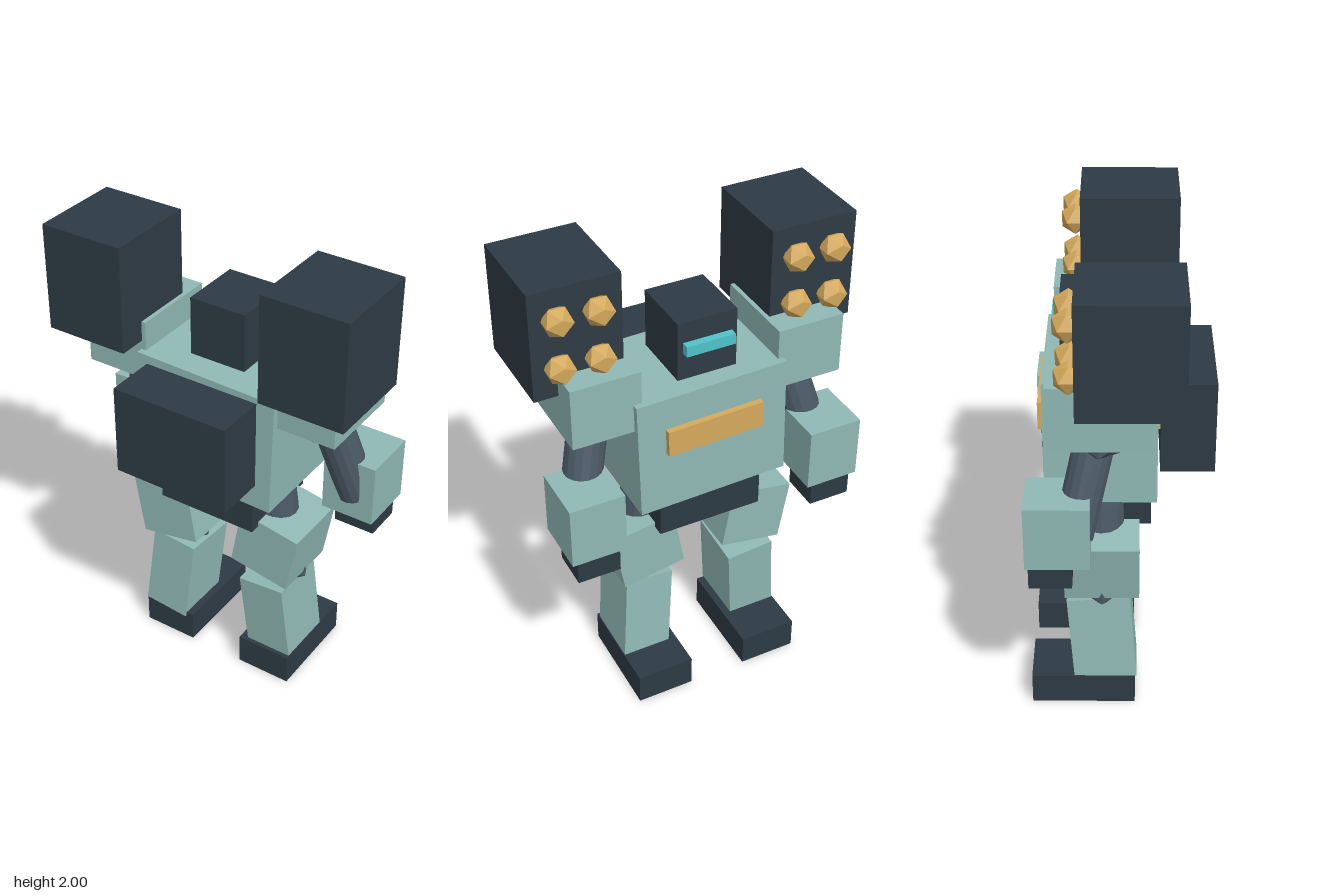
import * as THREE from 'three';

const paint = (color) => new THREE.MeshStandardMaterial({ color, flatShading: true });

export function createModel() {
  const armor = paint(0x8fb8b4);
  const dark = paint(0x2d3a44);
  const steel = paint(0x4a5864);
  const gold = paint(0xd4a95c);
  const glow = paint(0x4fc3c9);
  const model = new THREE.Group();
  model.name = 'walkingRobot';

  const add = (name, geometry, material, pos, rot = [0, 0, 0], parent = model) => {
    const mesh = new THREE.Mesh(geometry, material);
    mesh.name = name;
    mesh.position.set(...pos);
    mesh.rotation.set(...rot);
    parent.add(mesh);
    return mesh;
  };
  const box = (name, size, material, pos, rot, parent) =>
    add(name, new THREE.BoxGeometry(...size), material, pos, rot, parent);

  // Faceted ball joint, bottom edge running front to back
  const joint = (name, radius, pos, parent) =>
    add(name, new THREE.IcosahedronGeometry(radius), steel, pos, [0, Math.PI / 2, 0], parent);

  // Round strut between two points
  const strut = (name, from, to, radius, parent) => {
    const a = new THREE.Vector3(...from);
    const b = new THREE.Vector3(...to);
    const dir = b.clone().sub(a);
    const mesh = add(name, new THREE.CylinderGeometry(radius, radius, dir.length(), 16), steel,
      a.clone().add(b).multiplyScalar(0.5).toArray(), [0, 0, 0], parent);
    mesh.quaternion.setFromUnitVectors(new THREE.Vector3(0, 1, 0), dir.normalize());
    return mesh;
  };

  // Body, leaning slightly to one side
  const lean = [0, 0, -0.025];
  box('torso', [0.64, 0.52, 0.445], armor, [0, 1.238, -0.078], lean);
  box('chestPlate', [0.41, 0.115, 0.482], gold, [0, 1.302, -0.084], lean);
  box('backpack', [0.513, 0.387, 0.216], dark, [-0.003, 1.282, 0.264]);
  box('pelvis', [0.45, 0.2, 0.4], dark, [-0.003, 0.917, -0.077]);

  // Head and visor
  box('head', [0.25, 0.25, 0.275], dark, [-0.002, 1.636, -0.097]);
  box('visor', [0.206, 0.045, 0.06], glow, [-0.002, 1.652, -0.237]);

  for (const s of [-1, 1]) {
    const side = s > 0 ? 'left' : 'right';

    // Arm
    const arm = new THREE.Group();
    arm.name = side + 'Arm';
    model.add(arm);
    box('shoulderArmor', [0.285, 0.262, 0.39], armor, [s * 0.434, 1.499, -0.079], undefined, arm);
    joint('shoulderJoint', 0.155, [s * 0.42, 1.405, -0.079], arm);
    strut('upperArm', [s * 0.42, 1.405, -0.079], [s * 0.532, 0.975, -0.18], 0.08, arm);
    box('forearm', [0.23, 0.27, 0.25], armor, [s * 0.525, 1.02, -0.239], undefined, arm);
    box('hand', [0.18, 0.13, 0.168], dark, [s * 0.525, 0.845, -0.269], undefined, arm);

    // Missile pod with a two by two set of warheads
    const pod = new THREE.Group();
    pod.name = side + 'MissilePod';
    model.add(pod);
    box('podBox', [0.364, 0.455, 0.4], dark, [s * 0.492, 1.7725, 0.037], undefined, pod);
    for (const x of [0.412, 0.572]) {
      for (const y of [1.675, 1.878]) {
        add('warhead', new THREE.IcosahedronGeometry(0.063), gold, [s * x, y, -0.185], undefined, pod);
      }
    }

    // Leg, the shins swung in opposite directions
    const leg = new THREE.Group();
    leg.name = side + 'Leg';
    model.add(leg);
    strut('upperLeg', [s * 0.198, 0.925, -0.077], [s * 0.25, 0.585, -0.077], 0.095, leg);
    box('thighArmor', [0.275, 0.27, 0.305], armor, [s * 0.25, 0.698, -0.076], [0, 0, -s * 0.175], leg);
    joint('kneeJoint', 0.137, [s * 0.25, 0.583, -0.076], leg);
    box('shin', [0.21, 0.39, 0.262], armor, [s * 0.25, 0.313, -0.076], [s * 0.075, 0, s * 0.085], leg);
    box('foot', [0.248, 0.138, 0.434], dark, [s * 0.25, 0.069, -0.156], undefined, leg);
  }
  return model;
}
